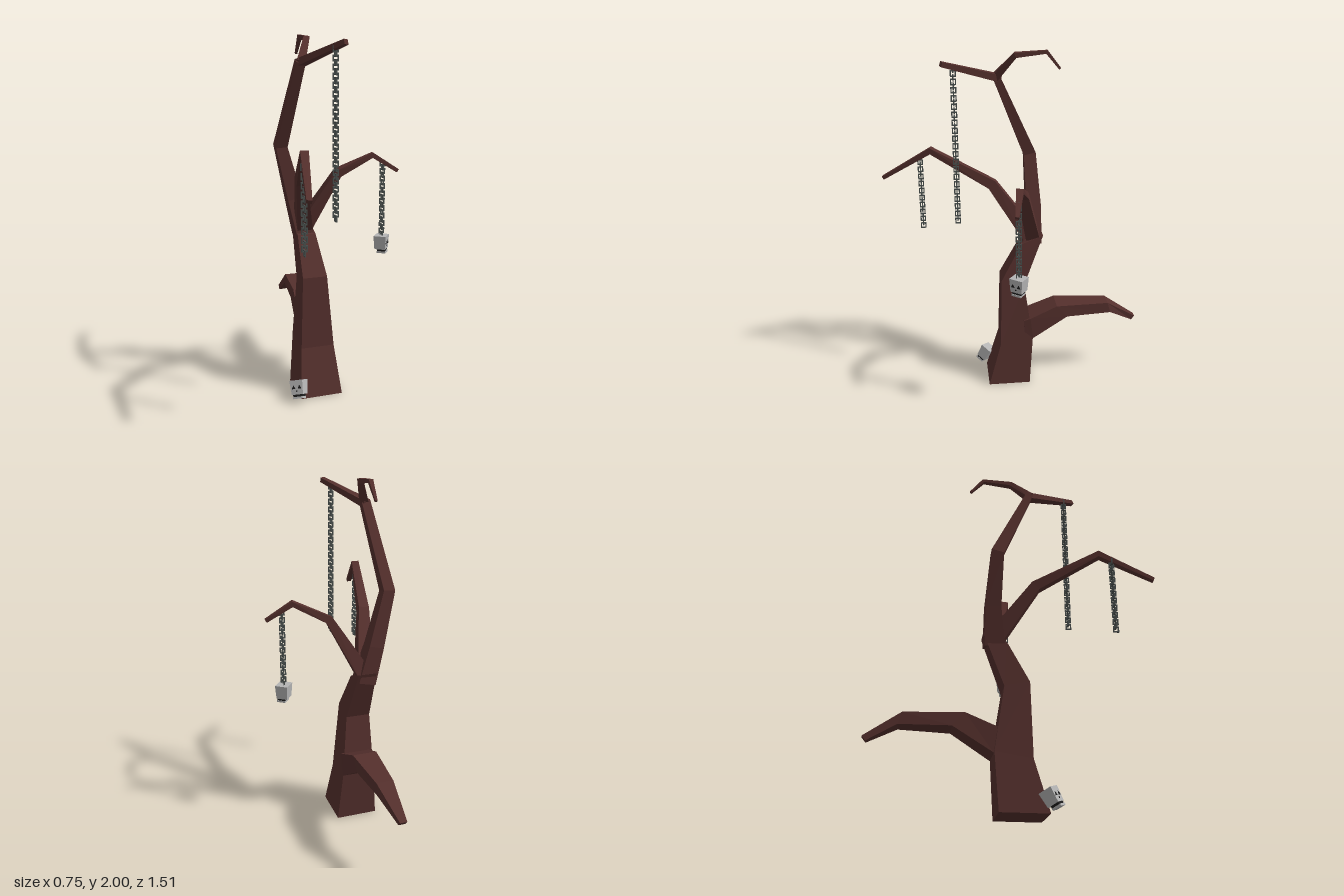
import * as THREE from 'three';

const paint = (color) => new THREE.MeshStandardMaterial({ color, flatShading: true });
const V = (x, y, z) => new THREE.Vector3(x, y, z);

// Skin a run of four-cornered rings, closed at both ends
function loft(rings) {
  const pos = [];
  const quad = (a, b, c, d) => [a, b, c, a, c, d].forEach((p) => pos.push(p.x, p.y, p.z));
  for (let i = 0; i < rings.length - 1; i++) {
    for (let k = 0; k < 4; k++) {
      const j = (k + 1) % 4;
      quad(rings[i][k], rings[i][j], rings[i + 1][j], rings[i + 1][k]);
    }
  }
  const s = rings[0], e = rings[rings.length - 1];
  quad(s[3], s[2], s[1], s[0]);
  quad(e[0], e[1], e[2], e[3]);
  const g = new THREE.BufferGeometry();
  g.setAttribute('position', new THREE.Float32BufferAttribute(pos, 3));
  g.computeVertexNormals();
  return g;
}

// Rings given as x range plus front and back edges: [x0, x1, yFront, zFront, yBack, zBack]
const slab = (rows) => loft(rows.map(([x0, x1, yf, zf, yb, zb]) =>
  [V(x0, yf, zf), V(x1, yf, zf), V(x1, yb, zb), V(x0, yb, zb)]));

// Tapered four-sided limb along points [x, y, z, width, height]
function limb(points, side) {
  const p = points.map(([x, y, z]) => V(x, y, z));
  return loft(points.map(([, , , w, h], i) => {
    const t = V(0, 0, 0);
    if (i > 0) t.add(p[i].clone().sub(p[i - 1]).normalize());
    if (i < p.length - 1) t.add(p[i + 1].clone().sub(p[i]).normalize());
    t.normalize();
    const n = t.clone().cross(side).normalize();
    const s = n.clone().cross(t);
    return [[-1, -1], [1, -1], [1, 1], [-1, 1]].map(([a, b]) =>
      p[i].clone().addScaledVector(s, a * w / 2).addScaledVector(n, b * h / 2));
  }));
}

export function createModel() {
  const root = new THREE.Group();
  root.name = 'deadTree';
  const bark = paint(0x55302d), iron = paint(0x4a504e), bone = paint(0xb4b4b4), dark = paint(0x1c1c1c);
  const add = (parent, name, geometry, material, x = 0, y = 0, z = 0) => {
    const m = new THREE.Mesh(geometry, material);
    m.name = name;
    m.position.set(x, y, z);
    parent.add(m);
    return m;
  };

  // Trunk and the thick low branch at the back
  add(root, 'trunk', slab([
    [-0.25, -0.01, 0, 0.165, 0, -0.085],
    [-0.225, -0.035, 0.27, 0.09, 0.3, -0.105],
    [-0.21, -0.07, 0.68, 0.08, 0.65, -0.055],
    [-0.205, -0.1, 0.9, -0.04, 0.95, -0.168],
  ]), bark);
  add(root, 'backBranch', slab([
    [-0.205, -0.04, 0.42, -0.05, 0.28, -0.06],
    [-0.2, -0.035, 0.435, -0.09, 0.3, -0.107],
    [-0.18, -0.04, 0.508, -0.25, 0.435, -0.315],
    [-0.15, -0.055, 0.505, -0.565, 0.44, -0.585],
    [-0.15, -0.11, 0.372, -0.755, 0.348, -0.735],
  ]), bark);

  // Upper limbs and twigs
  const X = V(1, 0, 0), Z = V(0, 0, 1);
  add(root, 'leader', limb([
    [-0.155, 0.89, -0.105, 0.1, 0.11], [-0.205, 1.1, -0.12, 0.085, 0.085],
    [-0.28, 1.4, -0.106, 0.065, 0.07], [-0.215, 1.855, 0.088, 0.05, 0.04],
  ], X), bark);
  add(root, 'topFrontTwig', limb([
    [-0.22, 1.843, 0.07, 0.045, 0.04], [-0.068, 1.945, 0.383, 0.026, 0.026],
  ], X), bark);
  add(root, 'topBackTwig', limb([
    [-0.215, 1.845, 0.095, 0.045, 0.04], [-0.152, 1.973, -0.012, 0.032, 0.028],
    [-0.143, 1.988, -0.178, 0.024, 0.02], [-0.145, 1.898, -0.252, 0.012, 0.013],
  ], X), bark);
  add(root, 'rightBranch', limb([
    [-0.155, 0.94, -0.095, 0.09, 0.09], [-0.225, 1.235, 0.115, 0.06, 0.058],
    [-0.303, 1.425, 0.462, 0.042, 0.036], [-0.364, 1.253, 0.745, 0.027, 0.02],
  ], X), bark);
  add(root, 'leftBranch', limb([
    [-0.145, 0.94, -0.11, 0.08, 0.08], [0.03, 1.245, -0.035, 0.06, 0.045],
    [0.223, 1.342, 0.006, 0.04, 0.03], [0.365, 1.25, 0.036, 0.02, 0.02],
  ], Z), bark);

  // Chains: square links turned alternately by a quarter
  const link = new THREE.Shape([[-1, -1], [1, -1], [1, 1], [-1, 1]].map(([a, b]) => new THREE.Vector2(a * 0.016, b * 0.017)));
  link.holes.push(new THREE.Path([[-1, -1], [-1, 1], [1, 1], [1, -1]].map(([a, b]) => new THREE.Vector2(a * 0.0095, b * 0.0105))));
  const linkGeo = new THREE.ExtrudeGeometry(link, { depth: 0.007, bevelEnabled: false });
  linkGeo.translate(0, 0, -0.0035);
  function chain(name, x, top, bottom, z) {
    const g = new THREE.Group();
    g.name = name;
    const n = Math.round((top - bottom - 0.034) / 0.0215);
    for (let i = 0; i <= n; i++) {
      const y = top - 0.017 - (i / n) * (top - bottom - 0.034);
      add(g, 'link', linkGeo, iron, x, y, z).rotation.y = (i % 2) * Math.PI / 2;
    }
    root.add(g);
  }
  chain('topChain', -0.1, 1.93, 1.05, 0.322);
  chain('rightChain', -0.325, 1.39, 0.94, 0.525);
  chain('leftChain', 0.28, 1.31, 0.865, 0.018);

  // Blocky skulls facing local +z
  const cranium = new THREE.BoxGeometry(0.08, 0.078, 0.072);
  const cp = cranium.attributes.position;
  for (let i = 0; i < cp.count; i++) {
    if (cp.getY(i) < 0) cp.setXYZ(i, cp.getX(i) * 0.86, cp.getY(i), cp.getZ(i) * 0.86);
  }
  cranium.computeVertexNormals();
  const triangle = (w, h) => new THREE.ExtrudeGeometry(
    new THREE.Shape([new THREE.Vector2(-w, -h), new THREE.Vector2(w, -h), new THREE.Vector2(0, h)]),
    { depth: 0.004, bevelEnabled: false });
  const eye = triangle(0.011, 0.01), nose = triangle(0.005, 0.005);
  function skull(name, x, y, z) {
    const g = new THREE.Group();
    g.name = name;
    g.position.set(x, y, z);
    add(g, 'cranium', cranium, bone, 0, 0.011, 0);
    add(g, 'mouth', new THREE.BoxGeometry(0.056, 0.014, 0.045), dark, 0, -0.034, 0.005);
    add(g, 'jaw', new THREE.BoxGeometry(0.058, 0.011, 0.05), bone, 0, -0.045, 0.007);
    for (const s of [-1, 1]) add(g, 'eye', eye, dark, s * 0.018, 0.013, 0.0315);
    add(g, 'nose', nose, dark, 0, -0.008, 0.0305);
    root.add(g);
    return g;
  }
  skull('hangingSkull', 0.28, 0.825, 0.017).rotation.y = 0.92;
  skull('groundSkull', -0.264, 0.067, 0.172).rotation.set(-0.4, -0.75, 0.3, 'YXZ');

  return root;
}
